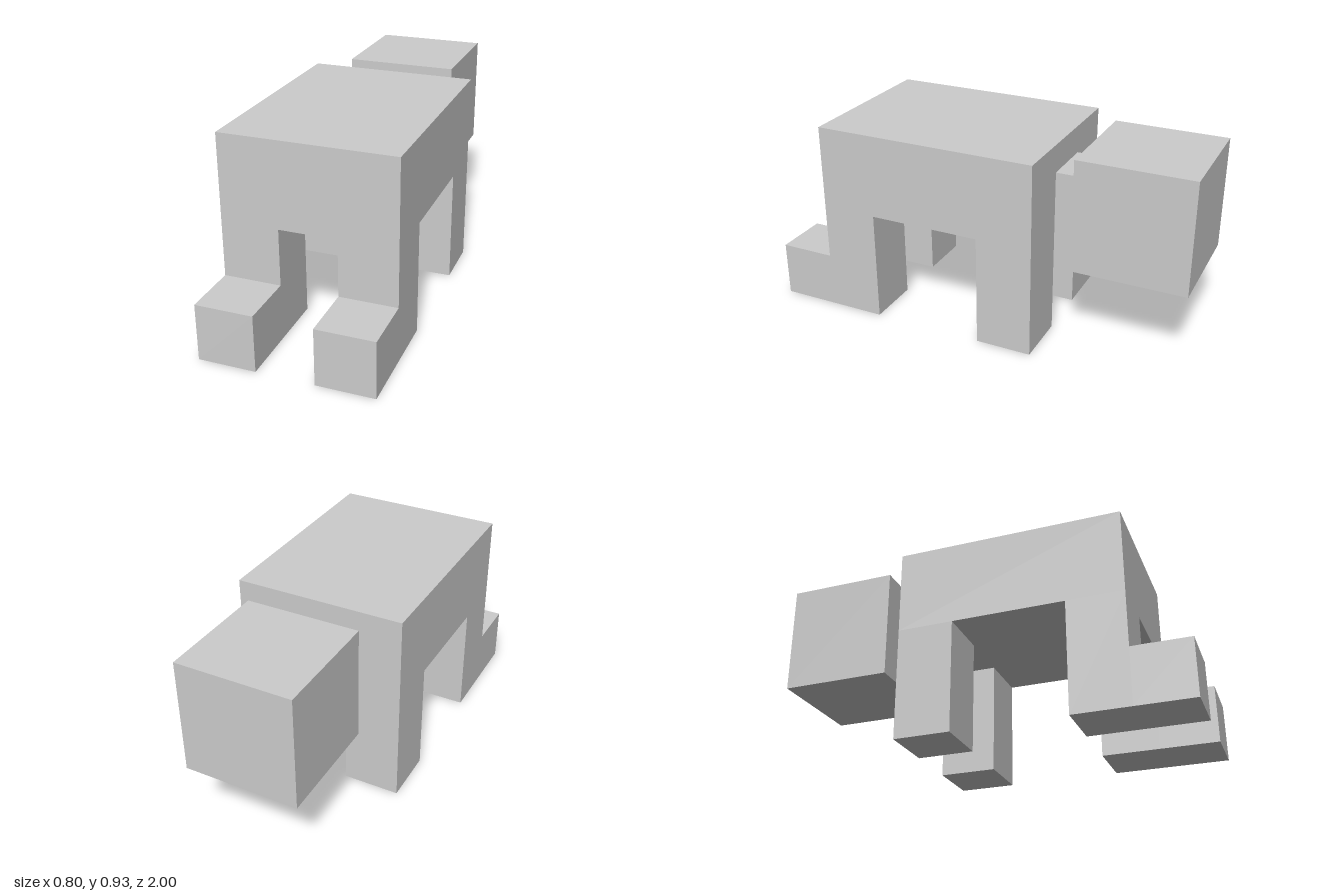
import * as THREE from 'three';

const U = 2 / 15; // modelling grid unit

export function createModel() {
  const model = new THREE.Group();
  model.name = 'blockAnimal';
  const material = new THREE.MeshStandardMaterial({ color: 0xcccccc, flatShading: true });

  // Box given by its lower and upper corners in grid units
  function block(name, [x0, y0, z0], [x1, y1, z1]) {
    const geometry = new THREE.BoxGeometry((x1 - x0) * U, (y1 - y0) * U, (z1 - z0) * U);
    const mesh = new THREE.Mesh(geometry, material);
    mesh.position.set((x0 + x1) / 2, (y0 + y1) / 2, (z0 + z1) / 2).multiplyScalar(U);
    mesh.name = name;
    model.add(mesh);
  }

  // Torso, neck and head
  block('body', [-3, 4, -2.5], [3, 7, 5.5]);
  block('neck', [-1, 4, -3.5], [1, 6, -2.5]);
  block('head', [-2, 3, -7.5], [2, 7, -3.5]);

  // Legs on both sides; the front pair have protruding feet
  for (const [side, x] of [['left', 1], ['right', -3]]) {
    block(side + 'BackLeg', [x, 0, -2.5], [x + 2, 4, -0.5]);
    block(side + 'FrontLeg', [x, 0, 3.5], [x + 2, 4, 5.5]);
    block(side + 'FrontFoot', [x, 0, 5.5], [x + 2, 2, 7.5]);
  }

  return model;
}
